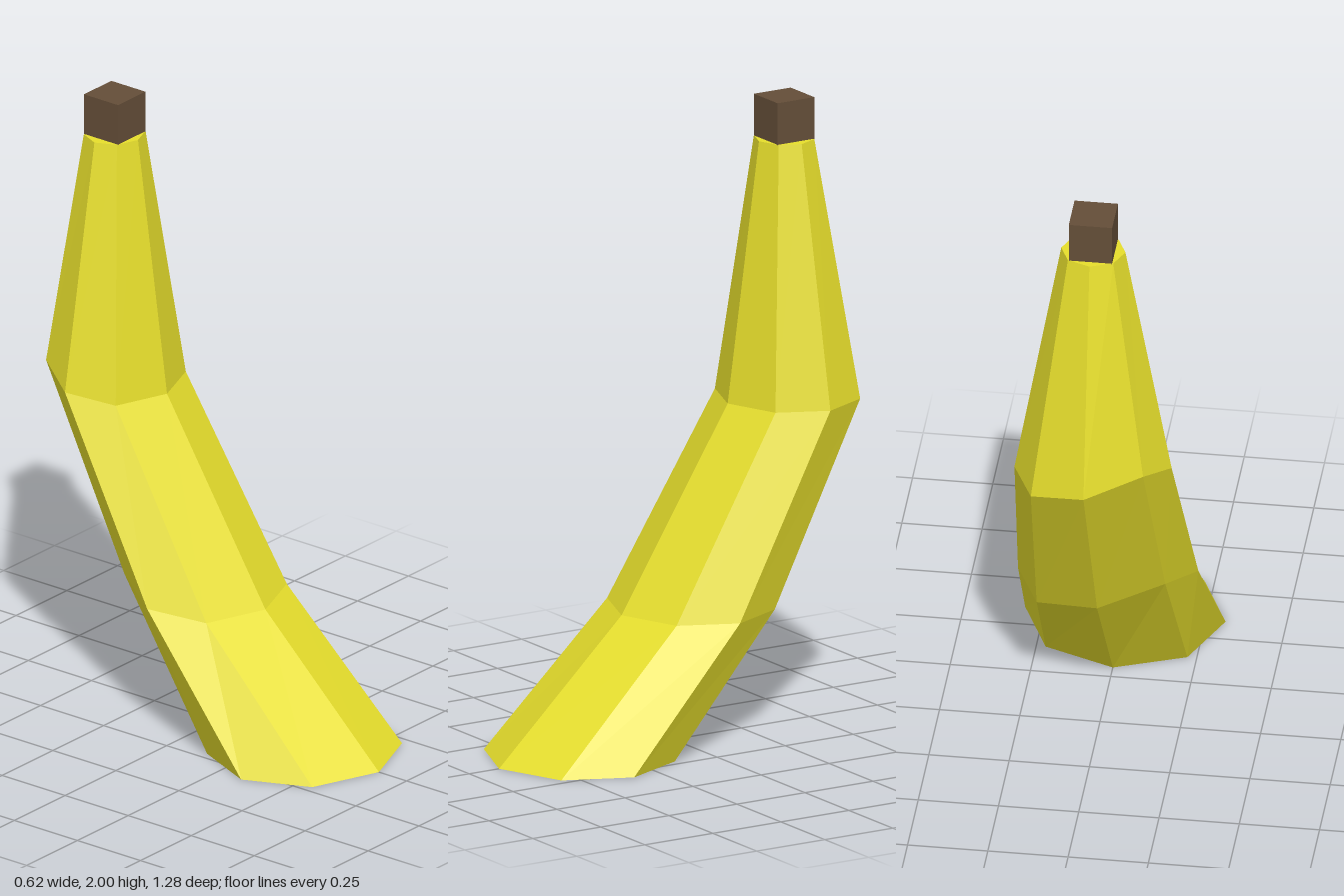
import * as THREE from 'three';

const SIDES = 8;

// Horizontal octagon sections, bottom to top: height, centre z, half width, half depth
const SECTIONS = [
  { y: 0, z: 0.345, rx: 0.312, rz: 0.295 },
  { y: 0.425, z: -0.065, rx: 0.28, rz: 0.255, bent: true },
  { y: 1.045, z: -0.42, rx: 0.244, rz: 0.22, bent: true },
  { y: 1.867, z: -0.4075, rx: 0.1, rz: 0.0925 },
];

// The bends are uneven at the back: corner index -> [rise, forward shift]
const BEND = { 4: [0.045, 0], 5: [0.08, 0.035], 6: [0.03, 0.012] };

function bananaGeometry() {
  const points = [];
  const faces = [];
  for (const s of SECTIONS) {
    for (let i = 0; i < SIDES; i++) {
      const a = (i / SIDES) * Math.PI * 2;
      const [dy, dz] = (s.bent && BEND[i]) || [0, 0];
      points.push(s.rx * Math.sin(a), s.y + dy, s.z + s.rz * Math.cos(a) + dz);
    }
  }
  // Skin between neighbouring sections
  const last = (SECTIONS.length - 1) * SIDES;
  for (let k = 0; k < last; k += SIDES) {
    for (let i = 0; i < SIDES; i++) {
      const j = (i + 1) % SIDES;
      const a = k + i, b = k + j, c = b + SIDES, d = a + SIDES;
      faces.push(a, b, c, a, c, d);
    }
  }
  // Flat end caps
  for (let i = 1; i < SIDES - 1; i++) {
    faces.push(0, i + 1, i);
    faces.push(last, last + i, last + i + 1);
  }
  const indexed = new THREE.BufferGeometry();
  indexed.setAttribute('position', new THREE.Float32BufferAttribute(points, 3));
  indexed.setIndex(faces);
  const geometry = indexed.toNonIndexed();
  geometry.computeVertexNormals();
  return geometry;
}

export function createModel() {
  const model = new THREE.Group();
  model.name = 'banana';

  const peel = new THREE.Mesh(
    bananaGeometry(),
    new THREE.MeshStandardMaterial({ color: 0xe6de2c, flatShading: true })
  );
  peel.name = 'peel';

  // Square stem on the top end
  const stem = new THREE.Mesh(
    new THREE.BoxGeometry(0.135, 0.135, 0.135),
    new THREE.MeshStandardMaterial({ color: 0x644e38, flatShading: true })
  );
  stem.name = 'stem';
  stem.position.set(0, 1.9325, -0.4075);

  model.add(peel, stem);
  return model;
}
